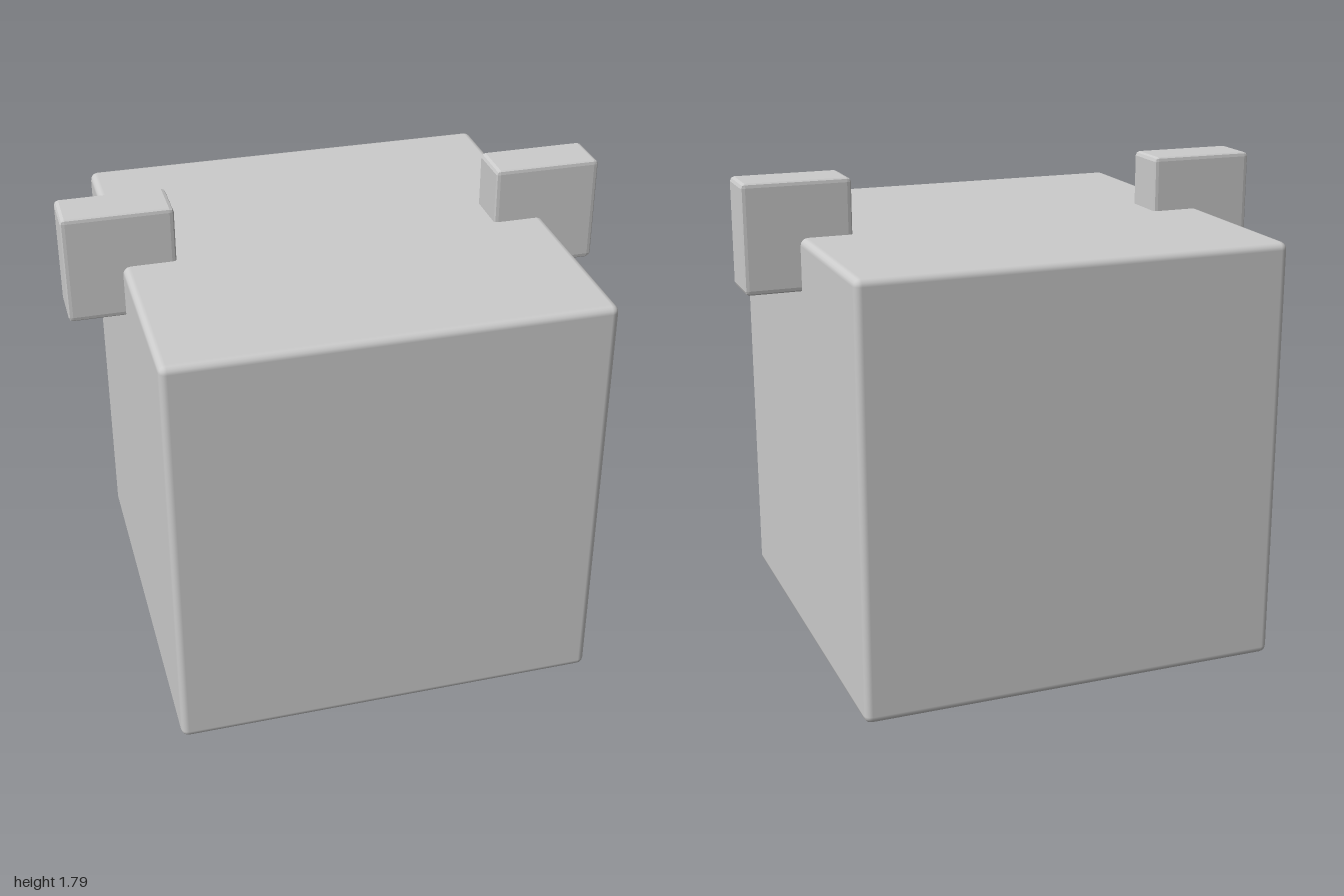
import * as THREE from 'three';
import { RoundedBoxGeometry } from 'three/addons/geometries/RoundedBoxGeometry.js';

export function createModel() {
  const model = new THREE.Group();
  model.name = 'cubeWithCornerBlocks';

  // Large cube with softly bevelled edges
  const body = new THREE.Mesh(
    new RoundedBoxGeometry(1.588, 1.588, 1.588, 2, 0.028),
    new THREE.MeshStandardMaterial({ color: 0xcccccc })
  );
  body.name = 'body';
  body.position.y = 0.794;
  model.add(body);

  // Crisp bevelled blocks straddling the two upper side edges;
  // a cube flattened in depth, so its bevel is narrower there
  const earGeometry = new RoundedBoxGeometry(0.4, 0.4, 0.4, 1, 0.016).scale(1, 1, 0.45);
  const earMaterial = new THREE.MeshStandardMaterial({ color: 0xcccccc, flatShading: true });
  for (const side of [1, -1]) {
    const ear = new THREE.Mesh(earGeometry, earMaterial);
    ear.name = side > 0 ? 'leftEar' : 'rightEar';
    ear.position.set(side * 0.8, 1.594, -0.025);
    model.add(ear);
  }

  return model;
}
